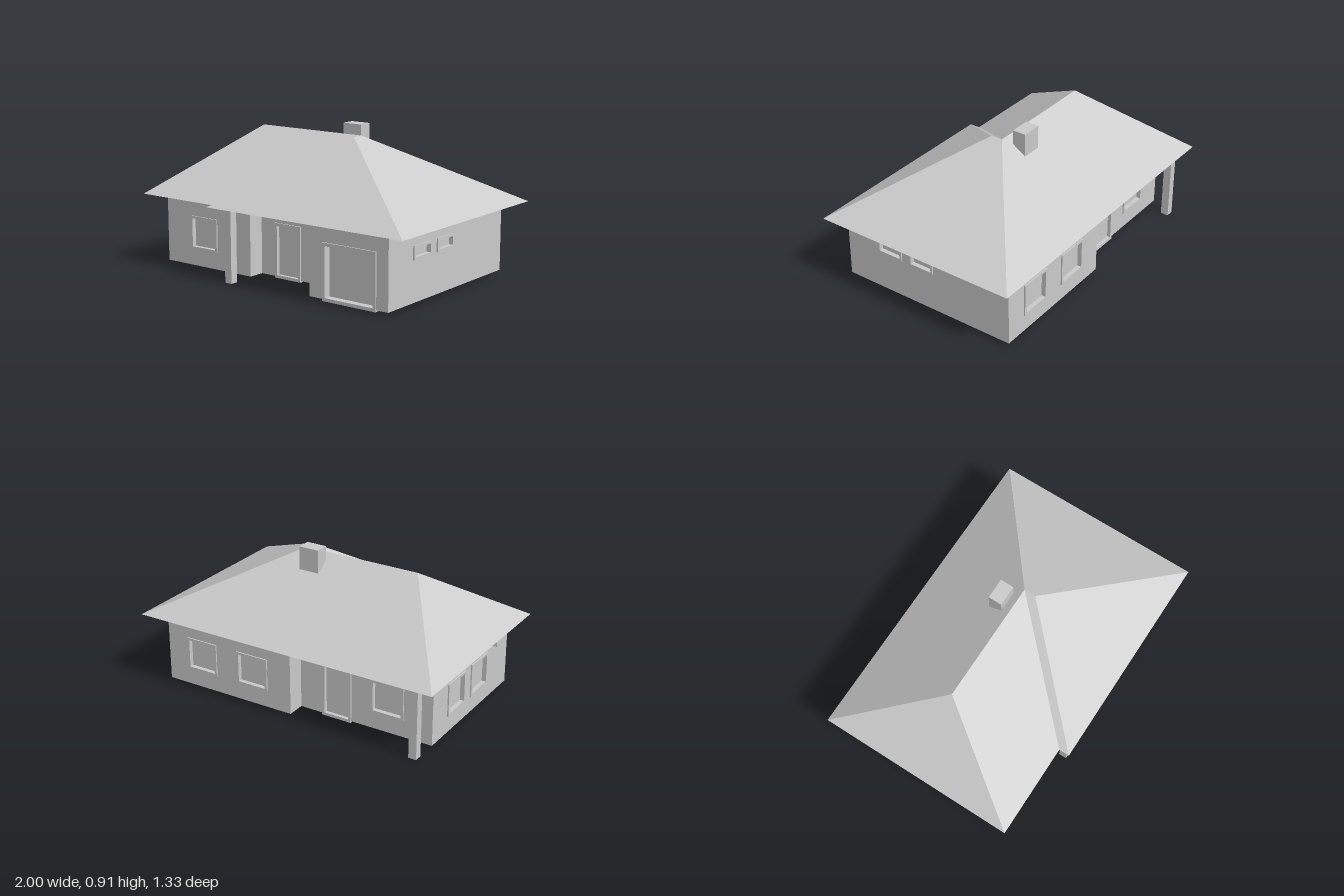
import * as THREE from 'three';

const mat = new THREE.MeshStandardMaterial({ color: 0xcccccc, flatShading: true, side: THREE.DoubleSide });

function add(parent, name, geometry, x = 0, y = 0, z = 0) {
  const mesh = new THREE.Mesh(geometry, mat);
  mesh.name = name;
  mesh.position.set(x, y, z);
  parent.add(mesh);
  return mesh;
}

// Box given by its extents
function block(parent, name, x0, x1, y0, y1, z0, z1) {
  const g = new THREE.BoxGeometry(x1 - x0, y1 - y0, z1 - z0);
  return add(parent, name, g, (x0 + x1) / 2, (y0 + y1) / 2, (z0 + z1) / 2);
}

const polygon = (pts, Type = THREE.Shape) => new Type(pts.map(([x, y]) => new THREE.Vector2(x, y)));
const rect = (a, b, c, d, Type) => polygon([[a, c], [b, c], [b, d], [a, d]], Type);

const EAVE = 0.455, TOP = 0.855, BASE = 0.025;

// Opening types: height range, frame width, frame depth behind the wall
const kinds = {
  window: { y0: 0.145, y1: 0.322, w: 0.015, depth: 0.025 },
  smallWindow: { y0: 0.286, y1: 0.338, w: 0.014, depth: 0.025 },
  door: { y0: 0.035, y1: 0.335, w: 0.018, depth: 0.018 },
  garageDoor: { y0: 0.035, y1: 0.333, w: 0.02, depth: 0.045 },
};

// Wall corners (x, z), each with the openings of the wall that starts there
const walls = [
  [-0.905, 0.48, ['window', 0.215, 0.4]],
  [-0.225, 0.48],
  [-0.225, 0.375, ['door', 0.125, 0.285]],
  [0.32, 0.375],
  [0.32, 0.597, ['garageDoor', 0.115, 0.445]],
  [0.865, 0.597, ['smallWindow', 0.247, 0.397], ['smallWindow', 0.482, 0.627]],
  [0.865, -0.577, ['window', 0.16, 0.345], ['window', 0.525, 0.713]],
  [-0.025, -0.577],
  [-0.025, -0.462, ['door', 0.17, 0.33], ['window', 0.495, 0.68]],
  [-0.905, -0.462, ['window', 0.19, 0.37], ['window', 0.475, 0.655]],
];

// One wall with its frames and panes; local x runs along it, local z points outside
function buildWall(house, i) {
  const [ax, az, ...openings] = walls[i];
  const [bx, bz] = walls[(i + 1) % walls.length];
  const dx = bx - ax, dz = bz - az;
  const wall = new THREE.Group();
  wall.name = 'wall';
  wall.position.set(ax, 0, az);
  wall.rotation.y = Math.atan2(-dz, dx);
  house.add(wall);

  const face = rect(0, Math.hypot(dx, dz), BASE, EAVE);
  for (const [kind, u0, u1] of openings) {
    const { y0, y1, w, depth } = kinds[kind];
    face.holes.push(rect(u0, u1, y0, y1, THREE.Path));
    const ring = rect(u0 - w, u1 + w, y0 - w, y1 + w);
    ring.holes.push(rect(u0, u1, y0, y1, THREE.Path));
    const frame = new THREE.ExtrudeGeometry(ring, { depth: depth + 0.008, bevelEnabled: false });
    add(wall, kind + 'Frame', frame, 0, 0, -depth);
    add(wall, kind + 'Pane', new THREE.ShapeGeometry(rect(u0, u1, y0, y1)), 0, 0, -depth * 0.8);
  }
  add(wall, 'wallFace', new THREE.ShapeGeometry(face));
}

// Flat facet through a few corners, as a triangle fan
function facet(pts) {
  const pos = [];
  for (let i = 1; i < pts.length - 1; i++) pos.push(...pts[0], ...pts[i], ...pts[i + 1]);
  const g = new THREE.BufferGeometry();
  g.setAttribute('position', new THREE.Float32BufferAttribute(pos, 3));
  g.computeVertexNormals();
  return g;
}

export function createModel() {
  const house = new THREE.Group();
  house.name = 'house';
  walls.forEach((_, i) => buildWall(house, i));

  // Hipped roof: eave corners and ridge points
  const backL = [-1, EAVE, -0.665], backR = [1, EAVE, -0.665];
  const frontL = [-1, EAVE, 0.595], frontR = [1, EAVE, 0.662];
  const stepIn = [-0.405, EAVE, 0.595], stepOut = [-0.405, EAVE, 0.662];
  const ridgeL = [-0.56, TOP, -0.045], ridgeR = [0.205, TOP, -0.045], ridgeF = [0.205, TOP, 0.03];
  const slopes = {
    roofBack: [backR, backL, ridgeL, ridgeR],
    roofRightEnd: [backL, frontL, ridgeL],
    roofFront: [frontL, stepIn, ridgeR, ridgeL],
    roofStep: [stepIn, stepOut, ridgeF, ridgeR],
    roofGarageFront: [stepOut, frontR, ridgeF],
    roofLeftEnd: [frontR, backR, ridgeR, ridgeF],
  };
  for (const [name, pts] of Object.entries(slopes)) add(house, name, facet(pts));

  // Soffit under the eaves, open above the rooms
  const eaves = polygon([backL, frontL, stepIn, stepOut, frontR, backR].map(([x, , z]) => [x, z]));
  eaves.holes.push(polygon(walls, THREE.Path));
  add(house, 'soffit', new THREE.ShapeGeometry(eaves), 0, EAVE, 0).rotation.x = Math.PI / 2;

  // Chimney, porch posts and the small box on the side wall
  block(house, 'chimney', 0.032, 0.163, 0.74, 0.912, -0.182, -0.095);
  block(house, 'frontPost', -0.315, -0.266, 0, EAVE, 0.556, 0.606);
  block(house, 'backPost', -0.885, -0.835, 0, EAVE, -0.608, -0.558);
  block(house, 'wallBox', -0.938, -0.9, 0.35, 0.423, 0.27, 0.365);
  return house;
}
